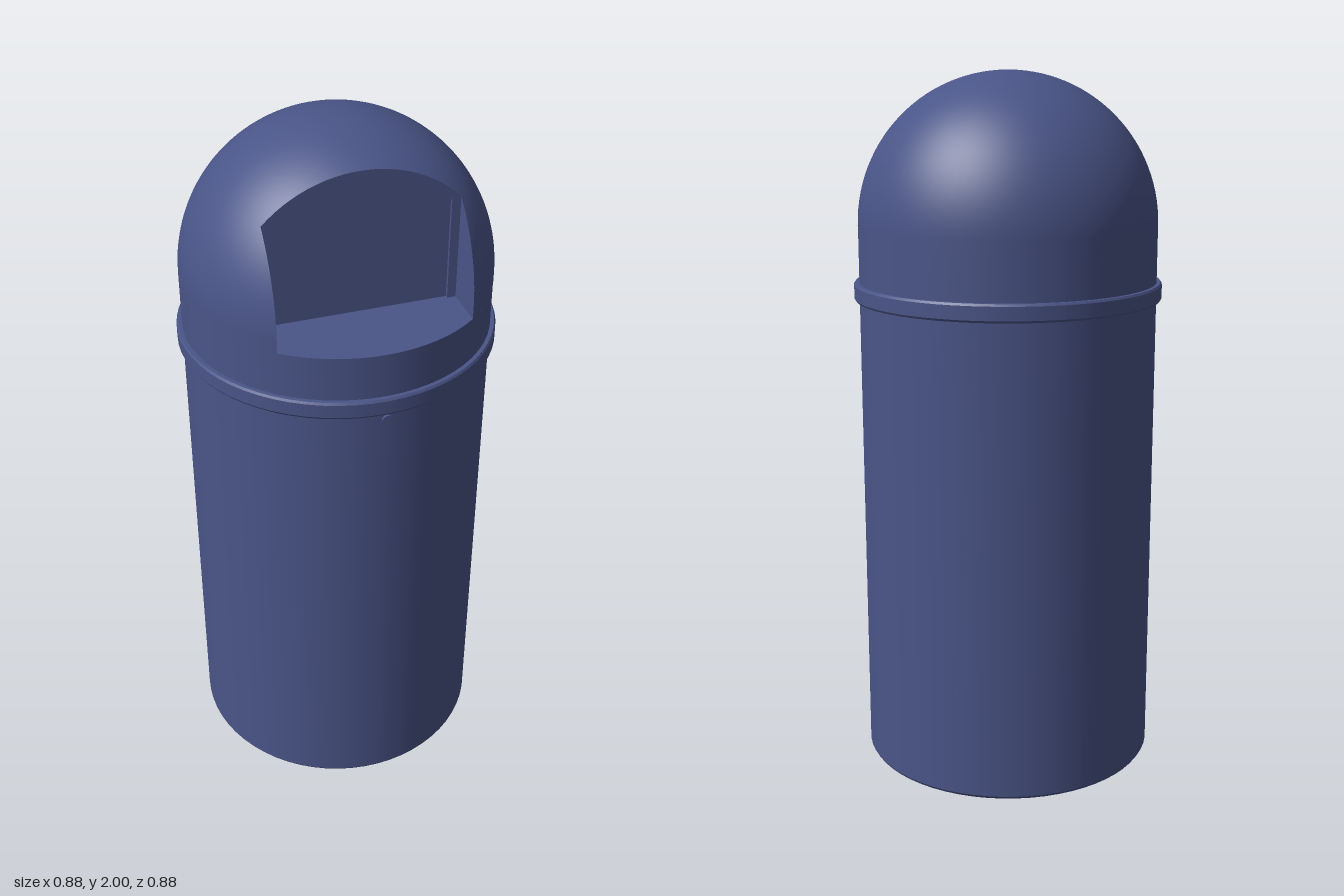
import * as THREE from 'three';

const R = 0.425;        // shell radius
const CY = 1.575;       // centre height of the dome
const FLOOR = 1.54;     // sill of the opening
const HW = 0.262;       // half width of the opening
const BACK = 0.215;     // depth plane of the opening

const radiusAt = (y) => (y <= CY ? R : Math.sqrt(Math.max(0, R * R - (y - CY) ** 2)));

// Dome skin: each ring starts and ends at the edges of the opening
function domeSkin() {
  const segs = 64, heights = [FLOOR];
  for (let i = 0; i <= 28; i++) heights.push(CY + R * Math.sin((i / 28) * Math.PI / 2));
  heights.push(CY + Math.sqrt(R * R - HW * HW - BACK * BACK), CY + Math.sqrt(R * R - BACK * BACK) - 1e-4,
    CY + Math.sqrt(R * R - BACK * BACK));
  heights.sort((a, b) => a - b);
  const pos = [], nor = [], idx = [];
  heights.forEach((y, j) => {
    const r = radiusAt(y);
    const xe = Math.min(HW, Math.sqrt(Math.max(0, r * r - BACK * BACK)));
    const a0 = r > 1e-6 ? Math.asin(Math.min(1, xe / r)) : 0;
    for (let i = 0; i <= segs; i++) {
      const a = a0 + (i / segs) * (2 * Math.PI - 2 * a0);
      const s = Math.sin(a), c = Math.cos(a);
      pos.push(r * s, y, r * c);
      nor.push((r / R) * s, Math.max(0, y - CY) / R, (r / R) * c);
      if (j && i) {
        const d = j * (segs + 1) + i, b = d - segs - 1;
        idx.push(b - 1, b, d, b - 1, d, d - 1);
      }
    }
  });
  const g = new THREE.BufferGeometry();
  g.setAttribute('position', new THREE.Float32BufferAttribute(pos, 3));
  g.setAttribute('normal', new THREE.Float32BufferAttribute(nor, 3));
  g.setIndex(idx);
  return g;
}

// Points on an arch of given radius around the dome centre, from +x to -x
function arch(radius, halfWidth, n = 24) {
  const a = Math.asin(halfWidth / radius);
  return Array.from({ length: n + 1 }, (_, i) => {
    const t = a - (2 * a * i) / n;
    return new THREE.Vector2(radius * Math.sin(t), CY + radius * Math.cos(t));
  });
}

export function createModel() {
  const model = new THREE.Group();
  model.name = 'domedBin';
  const blue = new THREE.MeshStandardMaterial({ color: 0x4a5588, side: THREE.DoubleSide });
  blue.name = 'blue';
  const add = (name, geometry, parent = model) => {
    const m = new THREE.Mesh(geometry, blue);
    m.name = name;
    parent.add(m);
    return m;
  };
  const V = (x, y) => new THREE.Vector2(x, y);
  // Lathe with hard edges: one strip per profile segment
  const turned = (name, pts) => {
    const g = new THREE.Group();
    g.name = name;
    model.add(g);
    for (let i = 1; i < pts.length; i++) {
      add(name + 'Face', new THREE.LatheGeometry([V(...pts[i - 1]), V(...pts[i])], 64), g);
    }
  };

  // Body, band and the straight collar under the dome
  turned('body', [[0, 0], [R - 0.005, 0], [R, 0.008], [R, 1.37]]);
  turned('band', [[R, 1.365], [0.436, 1.365], [0.44, 1.371], [0.44, 1.409], [0.436, 1.415], [R, 1.415]]);
  turned('collar', [[R, 1.41], [R, FLOOR]]);
  add('dome', domeSkin());

  const opening = new THREE.Group();
  opening.name = 'opening';
  model.add(opening);

  // Sill, following the round front
  const edge = Math.asin(HW / R);
  const sill = [V(-HW, -BACK + 0.01), V(HW, -BACK + 0.01)];
  for (let i = 0; i <= 16; i++) {
    const a = edge - (2 * edge * i) / 16;
    sill.push(V(R * Math.sin(a), -R * Math.cos(a)));
  }
  const sillMesh = add('sill', new THREE.ShapeGeometry(new THREE.Shape(sill)), opening);
  sillMesh.rotation.x = -Math.PI / 2;
  sillMesh.position.y = FLOOR;

  // Cheeks on both sides of the opening
  const cheek = [V(BACK, FLOOR)];
  const topY = CY + Math.sqrt(R * R - HW * HW - BACK * BACK);
  for (let i = 0; i <= 14; i++) {
    const y = i ? CY + (topY - CY) * ((i - 1) / 13) : FLOOR;
    cheek.push(V(Math.sqrt(radiusAt(y) ** 2 - HW * HW), y));
  }
  for (const side of [-1, 1]) {
    const m = add(side > 0 ? 'leftCheek' : 'rightCheek',
      new THREE.ShapeGeometry(new THREE.Shape(cheek)), opening);
    m.rotation.y = -Math.PI / 2;
    m.position.x = side * HW;
  }

  // Arched frame around the recessed flap
  const outer = arch(Math.sqrt(R * R - BACK * BACK), HW);
  const inner = arch(0.345, 0.238);
  const frame = new THREE.Shape([V(0.238, FLOOR), V(HW, FLOOR), ...outer,
    V(-HW, FLOOR), V(-0.238, FLOOR), ...inner.slice().reverse()]);
  add('flapFrame', new THREE.ExtrudeGeometry(frame, { depth: 0.01, bevelEnabled: false }), opening)
    .position.z = BACK - 0.01;
  add('flap', new THREE.ShapeGeometry(new THREE.Shape([V(0.238, FLOOR), ...inner, V(-0.238, FLOOR)])), opening)
    .position.z = BACK - 0.009;

  // Small latch under the band
  const latch = add('latch', new THREE.CylinderGeometry(0.014, 0.014, 0.012, 16));
  latch.rotation.x = Math.PI / 2;
  latch.position.set(0, 1.343, R);

  return model;
}
